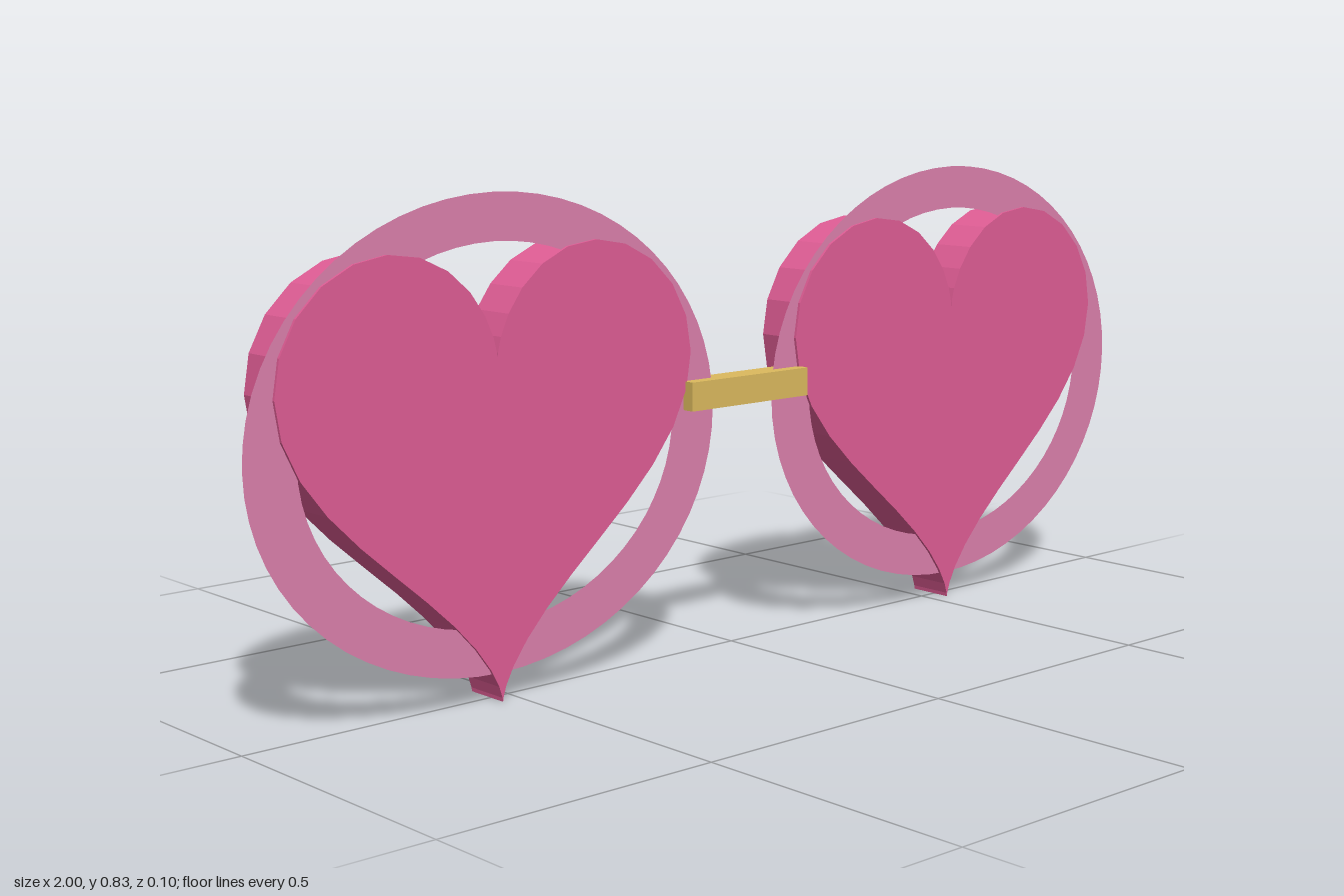
import * as THREE from 'three';

const LENS_X = 0.535, LENS_Y = 0.436;

// Heart outline around the origin, from the classic parametric curve
function heartShape(halfWidth, steps) {
  const s = halfWidth / 16;
  const points = [];
  for (let i = 0; i < steps; i++) {
    const t = -(i / steps) * Math.PI * 2; // counter-clockwise
    points.push(new THREE.Vector2(
      s * 16 * Math.sin(t) ** 3,
      s * (13 * Math.cos(t) - 5 * Math.cos(2 * t) - 2 * Math.cos(3 * t) - Math.cos(4 * t))
    ));
  }
  return new THREE.Shape(points);
}

export function createModel() {
  const pink = new THREE.MeshStandardMaterial({ color: 0xe05d95 });
  pink.name = 'heart pink';
  const rose = new THREE.MeshStandardMaterial({ color: 0xdc80ac, side: THREE.DoubleSide });
  rose.name = 'pale rose';
  const gold = new THREE.MeshStandardMaterial({ color: 0xdcba5e });
  gold.name = 'gold';

  const glasses = new THREE.Group();
  glasses.name = 'heartGlasses';

  const add = (name, geometry, material, x, y, z) => {
    const mesh = new THREE.Mesh(geometry, material);
    mesh.name = name;
    mesh.position.set(x, y, z);
    glasses.add(mesh);
    return mesh;
  };

  const heart = new THREE.ExtrudeGeometry(heartShape(0.41, 48), { depth: 0.085, bevelEnabled: false });
  const ring = new THREE.RingGeometry(0.8, 1, 64);
  ring.scale(0.465, 0.39, 1);

  // Heart lens and flat oval rim on each side
  for (const [side, sign] of [['left', 1], ['right', -1]]) {
    add(side + 'HeartLens', heart, pink, sign * LENS_X, LENS_Y, -0.051);
    add(side + 'OvalRim', ring, rose, sign * LENS_X, LENS_Y + 0.002, 0.029);
  }

  // Bar joining the two lenses
  add('bridge', new THREE.BoxGeometry(0.274, 0.05, 0.05), gold, 0, 0.462, 0.027);

  return glasses;
}
